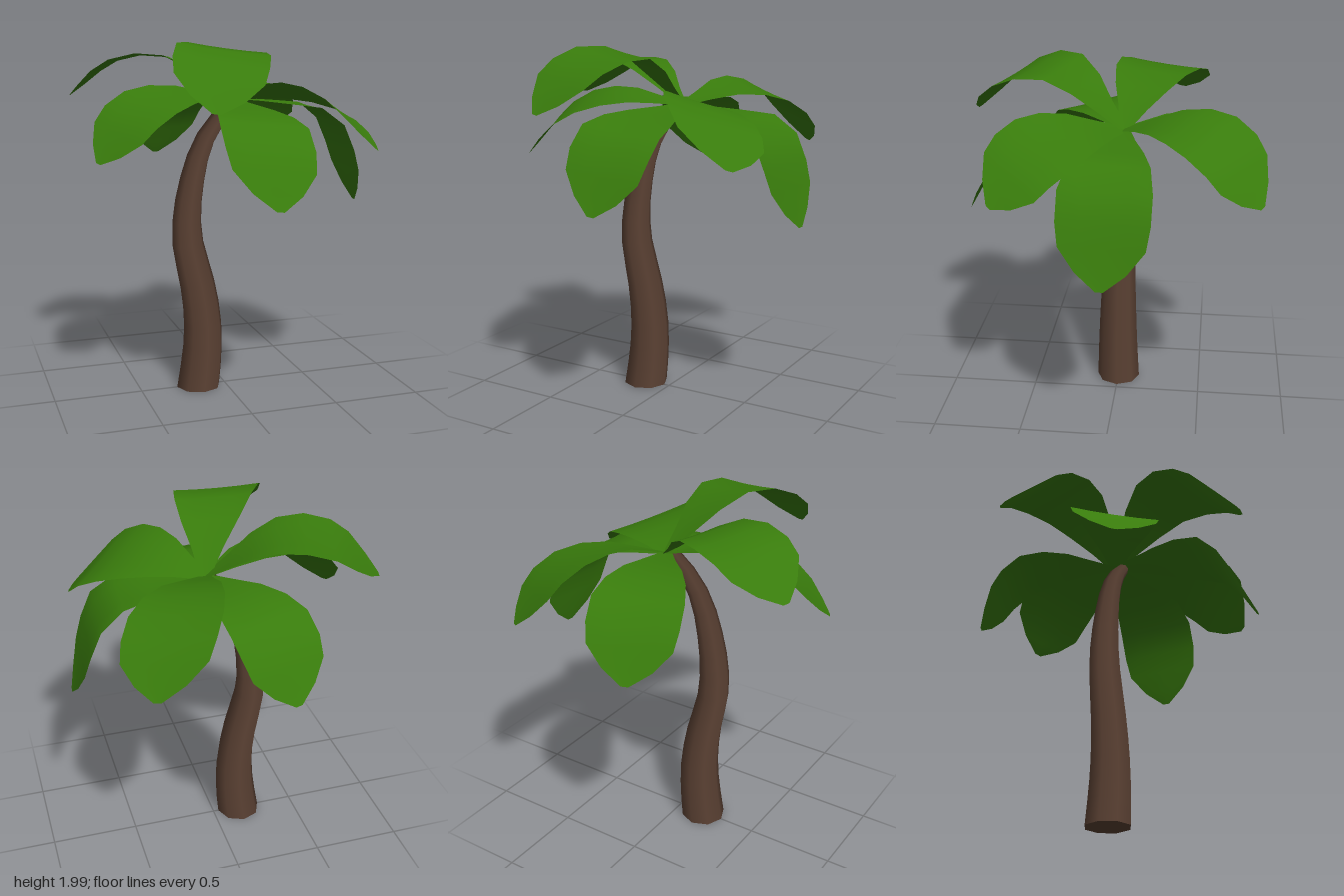
import * as THREE from 'three';

const CROWN = new THREE.Vector3(0.06, 1.67, -0.05);

// Tapered, S-bent trunk: an eight-sided cylinder moved onto a curve
function makeTrunk(material) {
  const curve = new THREE.CatmullRomCurve3([
    [-0.16, 0], [-0.135, 0.2], [-0.132, 0.4], [-0.162, 0.62], [-0.215, 0.85],
    [-0.222, 1.0], [-0.195, 1.2], [-0.13, 1.42], [-0.04, 1.56], [0.05, 1.65],
  ].map(([x, y]) => new THREE.Vector3(x, y, 0)));
  const geometry = new THREE.CylinderGeometry(1, 1, 1, 8, 14);
  const pos = geometry.attributes.position;
  const v = new THREE.Vector3();
  for (let i = 0; i < pos.count; i++) {
    v.fromBufferAttribute(pos, i);
    const t = THREE.MathUtils.clamp(v.y + 0.5, 0, 1);
    const centre = curve.getPointAt(t);
    const tangent = curve.getTangentAt(t);
    const lean = t > 0.001 ? Math.atan2(tangent.x, tangent.y) : 0;
    const radius = 0.128 - 0.072 * t - 0.02 * t ** 4;
    pos.setXYZ(i,
      centre.x + v.x * radius * Math.cos(lean),
      centre.y - v.x * radius * Math.sin(lean),
      v.z * radius);
  }
  const trunk = new THREE.Mesh(geometry, material);
  trunk.name = 'trunk';
  return trunk;
}

// Rows along a leaf: [distance along the spine, half width]
const ROWS = [[0, 0.03], [0.14, 0.085], [0.28, 0.155], [0.42, 0.21], [0.56, 0.24],
  [0.7, 0.24], [0.81, 0.222], [0.92, 0.13], [1, 0.02]];
const COLUMNS = [-1, -0.5, 0, 0.5, 1];

// Broad drooping leaf: slightly cupped cross-sections lofted along a bent spine
function makeLeaf({ tip: [x, z], heights: [y1, y2, y3], roll = 0 }, material) {
  const dx = x - CROWN.x, dz = z - CROWN.z;
  const at = (f, y) => new THREE.Vector3(CROWN.x + dx * f, y, CROWN.z + dz * f);
  const spine = new THREE.CatmullRomCurve3([at(0, CROWN.y), at(0.4, y1), at(0.72, y2), at(1, y3)]);
  const side = new THREE.Vector3(-dz, 0, dx).normalize();
  const points = [], index = [];
  const n = COLUMNS.length;

  ROWS.forEach(([t, width], i) => {
    const centre = spine.getPointAt(t);
    const normal = spine.getTangentAt(t).cross(side).normalize();
    if (normal.y < 0) normal.negate();
    COLUMNS.forEach((s, j) => {
      const p = centre.clone()
        .addScaledVector(side, s * width)
        .addScaledVector(normal, 0.03 * width * s * s);
      p.y += roll * s * width;
      points.push(p);
      if (i < ROWS.length - 1 && j < n - 1) {
        const a = i * n + j, b = a + 1, c = a + n, d = c + 1;
        index.push(a, b, c, b, d, c);
      }
    });
  });

  const geometry = new THREE.BufferGeometry().setFromPoints(points);
  geometry.setIndex(index);
  geometry.computeVertexNormals();
  return new THREE.Mesh(geometry, material);
}

// Tip position (x, z), spine heights and sideways tilt of every leaf, clockwise from the front
const LEAVES = [
  { tip: [-0.3, 0.82], heights: [1.96, 1.9, 1.67], roll: 0.13 },
  { tip: [-0.77, 0.28], heights: [1.715, 1.635, 1.38], roll: 0.18 },
  { tip: [-0.81, -0.33], heights: [1.9, 1.88, 1.69], roll: -0.05 },
  { tip: [-0.2, -0.81], heights: [1.685, 1.61, 1.28] },
  { tip: [0.51, -0.79], heights: [1.76, 1.69, 1.42], roll: -0.2 },
  { tip: [0.81, 0], heights: [1.64, 1.58, 1.06] },
  { tip: [0.67, 0.57], heights: [1.715, 1.645, 1.43], roll: 0.32 },
  { tip: [0.03, 0.82], heights: [1.63, 1.56, 1.18], roll: 0.1 },
];

export function createModel() {
  const bark = new THREE.MeshStandardMaterial({ color: 0x5c4234 });
  const green = new THREE.MeshStandardMaterial({ color: 0x397c0c, side: THREE.DoubleSide });
  const palm = new THREE.Group();
  palm.name = 'palmTree';
  palm.add(makeTrunk(bark));

  const crown = new THREE.Group();
  crown.name = 'crown';
  LEAVES.forEach((spec, i) => {
    const leaf = makeLeaf(spec, green);
    leaf.name = `leaf${i + 1}`;
    crown.add(leaf);
  });
  palm.add(crown);
  return palm;
}
